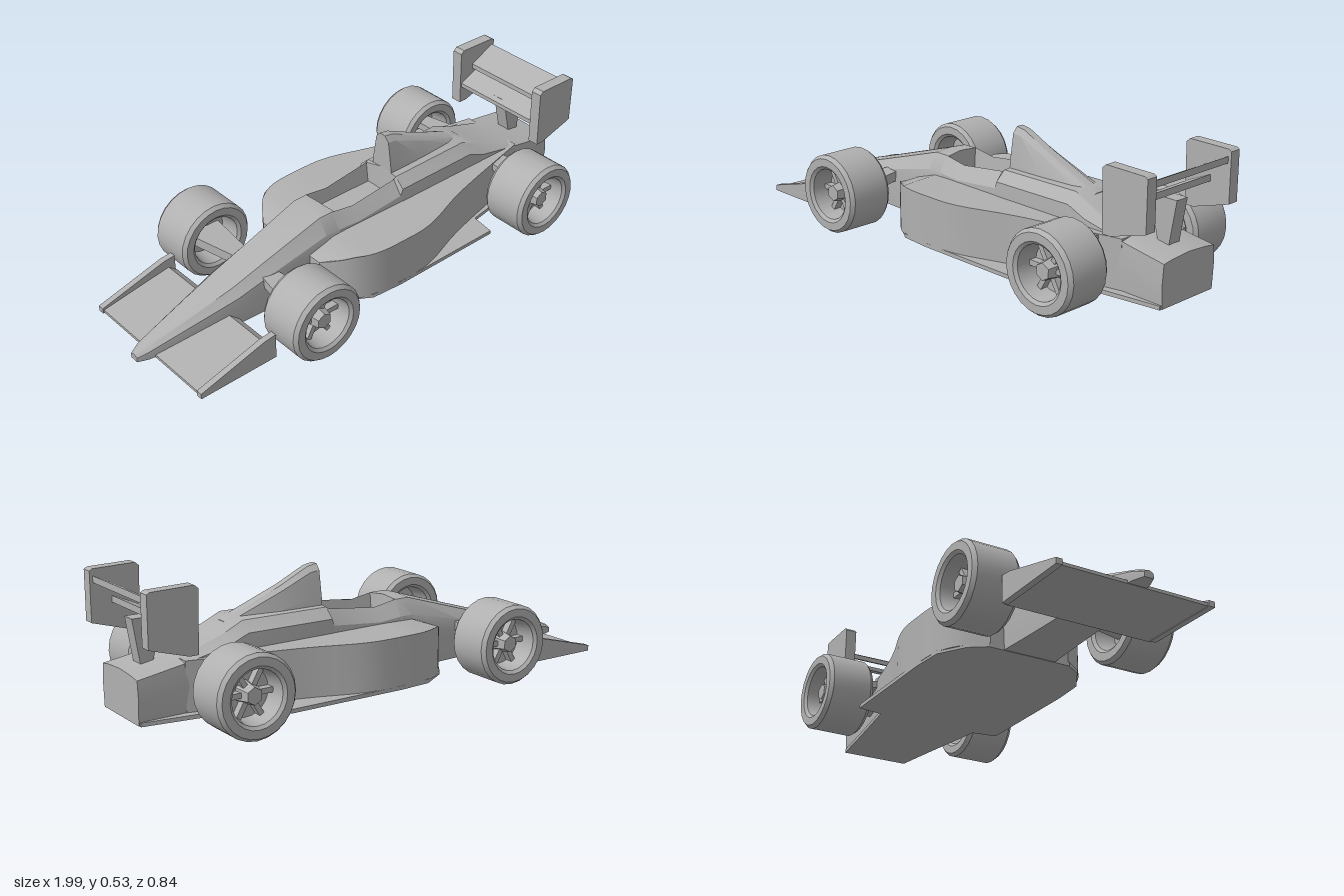
import * as THREE from 'three';
import { toCreasedNormals } from 'three/addons/utils/BufferGeometryUtils.js';

const grey = new THREE.MeshStandardMaterial({ color: 0xb0b0b0, side: THREE.DoubleSide });
grey.name = 'plain grey';

function add(parent, name, geometry, x = 0, y = 0, z = 0) {
  const mesh = new THREE.Mesh(toCreasedNormals(geometry, 0.5), grey);
  mesh.name = name;
  mesh.position.set(x, y, z);
  parent.add(mesh);
  return mesh;
}

// Skin through mirrored half sections: { x, half: [[z, y], ...] } from bottom to top
function loft(sections) {
  const pos = [], index = [];
  const n = sections[0].half.length * 2;
  for (const { x, half } of sections) {
    for (const [z, y] of half) pos.push(x, y, z);
    for (const [z, y] of half.slice().reverse()) pos.push(x, y, -z);
  }
  for (let i = 0; i < sections.length - 1; i++) {
    for (let j = 0; j < n; j++) {
      const a = i * n + j, b = i * n + (j + 1) % n;
      index.push(a, a + n, b, b, a + n, b + n);
    }
  }
  const e = (sections.length - 1) * n;
  for (let k = 1; k < n - 1; k++) index.push(0, k, k + 1, e, e + k + 1, e + k);
  const g = new THREE.BufferGeometry();
  g.setAttribute('position', new THREE.Float32BufferAttribute(pos, 3));
  g.setIndex(index);
  return g;
}

// Body section: half width, top height, and optionally the shoulder edge and cockpit floor
function bodySection(x, w, top, edge = 0.78, floor = 0) {
  const base = 0.037, h = top - base;
  return { x, half: [
    [w, base], [w * 1.04, base + h * 0.55], [w, base + h * edge], [w * 0.66, top],
    floor ? [w * 0.55, floor] : [w * 0.08, top + 0.005],
  ] };
}

// Airbox section: half width, base height, top height
function airboxSection(x, w, base, top) {
  const h = top - base;
  return { x, half: [[w, base], [w * 0.9, base + h * 0.33], [w * 0.62, base + h * 0.88], [w * 0.27, top]] };
}

function extrude(pts, depth) {
  const shape = new THREE.Shape(pts.map(([x, y]) => new THREE.Vector2(x, y)));
  return new THREE.ExtrudeGeometry(shape, { depth, bevelEnabled: false });
}

// Side profile (x, y) extruded across z
const sideExtrude = (pts, width, z = 0) => extrude(pts, width).translate(0, 0, z - width / 2);

// Half plan (x, z) mirrored and extruded upward
function planExtrude(half, y0, y1) {
  const pts = [...half.map(([x, z]) => [x, -z]), ...half.slice().reverse()];
  return extrude(pts, y1 - y0).rotateX(-Math.PI / 2).translate(0, y0, 0);
}

// Bar across z from z0 to z1 whose centre (x, y) and width taper
function arm(x, y0, y1, z0, z1, w0, w1, h) {
  const g = new THREE.BoxGeometry(1, h, 1);
  const p = g.attributes.position;
  for (let i = 0; i < p.count; i++) {
    const far = p.getZ(i) > 0;
    p.setXYZ(i, x + p.getX(i) * (far ? w1 : w0), p.getY(i) + (far ? y1 : y0), far ? z1 : z0);
  }
  return g;
}

function makeWheel(name) {
  const wheel = new THREE.Group();
  wheel.name = name;
  // Closed tyre and rim ring, open through the middle
  const half = [[0.09, 0.02], [0.1, 0.085], [0.112, 0.095], [0.143, 0.095], [0.155, 0.08]];
  const ring = [...half.map(([r, y]) => [r, -y]), ...half.slice().reverse(), half[0].map((v, i) => (i ? -v : v))];
  add(wheel, 'tyre', new THREE.LatheGeometry(ring.map(([r, y]) => new THREE.Vector2(r, y)), 24).rotateX(Math.PI / 2));
  add(wheel, 'rimDisc', new THREE.CylinderGeometry(0.093, 0.093, 0.012, 24).rotateX(Math.PI / 2));
  add(wheel, 'hub', new THREE.CylinderGeometry(0.032, 0.045, 0.065, 6).rotateX(Math.PI / 2), 0, 0, 0.035);
  for (let i = 0; i < 6; i++) {
    const spoke = add(wheel, 'spoke', new THREE.BoxGeometry(0.07, 0.02, 0.03).translate(0.06, 0, 0.02));
    spoke.rotation.z = (i * Math.PI) / 3;
  }
  return wheel;
}

export function createModel() {
  const car = new THREE.Group();
  car.name = 'racingCar';

  // Nose, tub with sunken cockpit, engine cover and tail
  add(car, 'body', loft([
    bodySection(-1, 0.018, 0.06),
    bodySection(-0.96, 0.034, 0.078),
    bodySection(-0.6, 0.09, 0.185),
    bodySection(-0.45, 0.097, 0.232),
    bodySection(-0.2, 0.112, 0.311),
    bodySection(-0.14, 0.114, 0.311),
    bodySection(-0.13, 0.114, 0.31, 0.78, 0.2),
    bodySection(-0.04, 0.116, 0.295, 0.8, 0.19),
    bodySection(0.17, 0.119, 0.32, 0.8, 0.22),
    bodySection(0.18, 0.12, 0.328, 0.87),
    bodySection(0.54, 0.123, 0.332, 0.87),
    bodySection(0.62, 0.125, 0.295, 0.87),
    bodySection(0.8, 0.13, 0.237, 0.95),
    bodySection(0.985, 0.133, 0.205, 0.96),
  ]));

  // Airbox and spine behind the cockpit
  add(car, 'airbox', loft([
    airboxSection(0.18, 0.055, 0.3, 0.482),
    airboxSection(0.22, 0.055, 0.3, 0.475),
    airboxSection(0.34, 0.057, 0.3, 0.418),
    airboxSection(0.58, 0.06, 0.28, 0.32),
  ]));

  // Sidepods, with a lowered front lip and pinched tail
  const outline = new THREE.SplineCurve([[-0.28, 0.165], [-0.21, 0.255], [-0.12, 0.299], [0, 0.309],
    [0.16, 0.3], [0.4, 0.222], [0.8, 0.132]].map(([x, z]) => new THREE.Vector2(x, z)));
  const pods = planExtrude(outline.getPoints(24).map((v) => [v.x, v.y]), 0.045, 0.237);
  const p = pods.attributes.position;
  for (let i = 0; i < p.count; i++) {
    if (p.getY(i) > 0.2 && p.getX(i) < -0.2) p.setY(i, 0.237 + (p.getX(i) + 0.2) * 0.5);
  }
  add(car, 'sidepods', pods);

  // Flat floor
  add(car, 'floor', planExtrude([[-0.28, 0.17], [-0.235, 0.235], [-0.13, 0.3], [0, 0.31],
    [0.485, 0.31], [0.5, 0.21], [0.8, 0.165], [0.98, 0.14]], 0.035, 0.05));

  // Front wing wedge
  add(car, 'frontWing', sideExtrude([[-0.935, 0.035], [-0.6, 0.035], [-0.6, 0.06], [-0.64, 0.095],
    [-0.935, 0.047]], 0.6));

  // Rear wing blades and centre strut
  add(car, 'mainBlade', sideExtrude([[0.81, 0.358], [0.91, 0.395], [0.91, 0.42], [0.81, 0.375]], 0.4));
  add(car, 'upperBlade', sideExtrude([[0.87, 0.425], [0.98, 0.475], [0.98, 0.5], [0.87, 0.445]], 0.4));
  add(car, 'wingStrut', sideExtrude([[0.875, 0.2], [0.915, 0.2], [0.945, 0.385], [0.83, 0.385]], 0.056));

  // End plates, wheels and suspension arms on both sides
  for (const s of [-1, 1]) {
    add(car, 'frontEndPlate', sideExtrude([[-0.94, 0.033], [-0.61, 0.033], [-0.61, 0.135],
      [-0.66, 0.13], [-0.94, 0.055]], 0.025, s * 0.303));
    add(car, 'rearEndPlate', sideExtrude([[0.805, 0.285], [0.84, 0.285], [0.992, 0.33],
      [0.992, 0.518], [0.98, 0.525], [0.815, 0.528], [0.8, 0.515]], 0.045, s * 0.218));
    for (const [name, x] of [['frontWheel', -0.45], ['rearWheel', 0.68]]) {
      const wheel = makeWheel(name);
      wheel.position.set(x, 0.156, s * 0.325);
      if (s < 0) wheel.rotation.y = Math.PI;
      car.add(wheel);
    }
    add(car, 'frontArm', arm(-0.452, 0.17, 0.155, s * 0.07, s * 0.32, 0.06, 0.14, 0.04));
    add(car, 'rearLowerArm', arm(0.69, 0.14, 0.12, s * 0.1, s * 0.32, 0.09, 0.06, 0.045));
    add(car, 'rearUpperArm', arm(0.67, 0.225, 0.2, s * 0.1, s * 0.32, 0.09, 0.06, 0.03));
  }
  return car;
}
